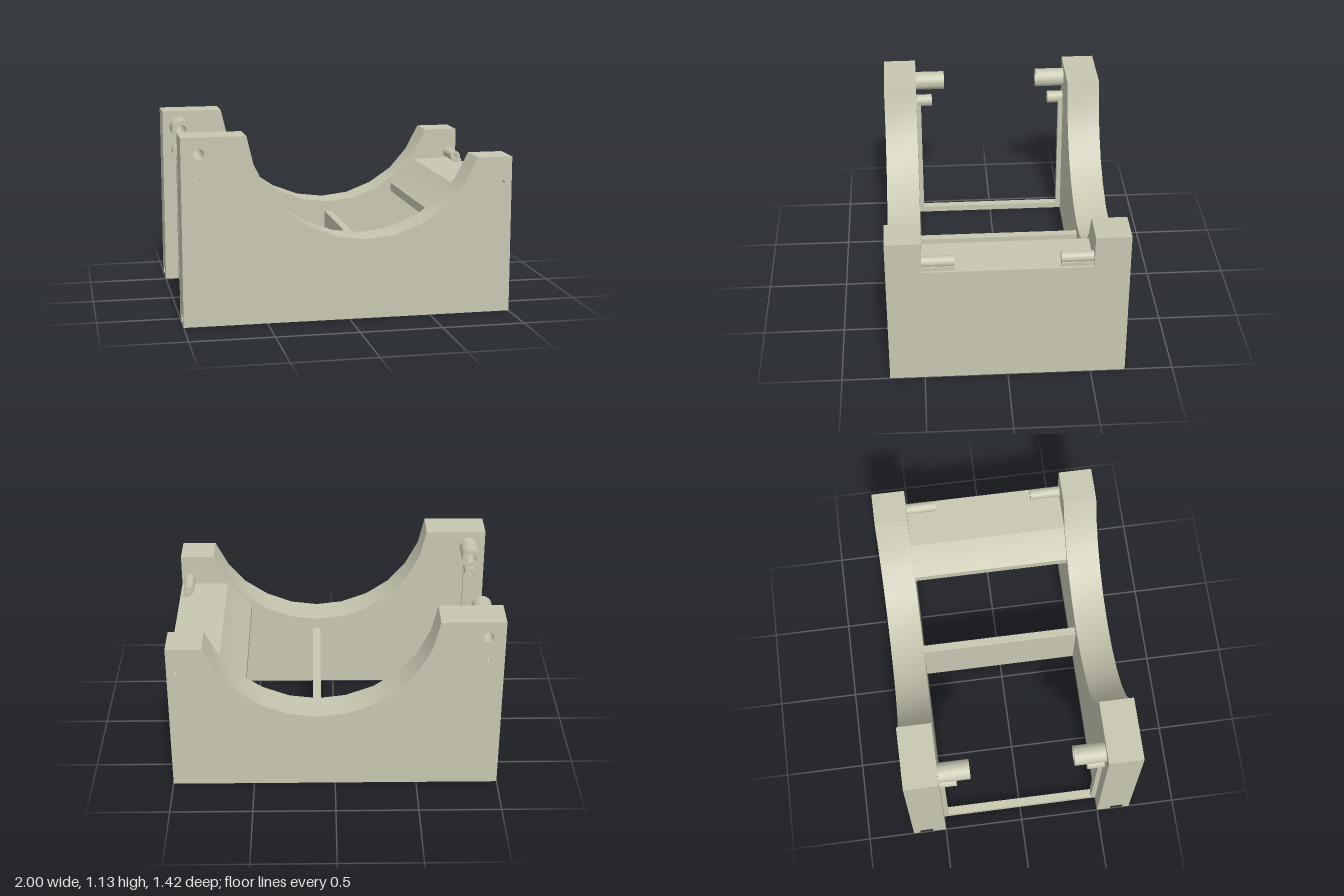
import * as THREE from 'three';
import { toCreasedNormals } from 'three/addons/utils/BufferGeometryUtils.js';

const material = new THREE.MeshStandardMaterial({ color: 0xc8c7b0 });

// Bolt holes and their bosses: centre, radii and inner end of the boss
const bosses = [
  { name: 'largeBoss', x: -0.895, y: 1.03, r: 0.06, hole: 0.032, end: 0.31 },
  { name: 'smallBoss', x: -0.905, y: 0.875, r: 0.04, hole: 0.011, end: 0.395 },
  { name: 'wallBoss', x: 0.945, y: 0.802, r: 0.033, hole: 0.012, end: 0.31 },
];

function add(parent, name, geometry) {
  const mesh = new THREE.Mesh(geometry, material);
  mesh.name = name;
  parent.add(mesh);
  return mesh;
}

// Box given by its limits on each axis
function box(parent, name, [x0, x1], [y0, y1], [z0, z1]) {
  const mesh = add(parent, name, new THREE.BoxGeometry(x1 - x0, y1 - y0, z1 - z0));
  mesh.position.set((x0 + x1) / 2, (y0 + y1) / 2, (z0 + z1) / 2);
  return mesh;
}

function outline(points) {
  return new THREE.Shape(points.map(([x, y]) => new THREE.Vector2(x, y)));
}

function circleHole(x, y, r) {
  return new THREE.Path().absarc(x, y, r, 0, Math.PI * 2, true);
}

// Extrude a shape in xy between two z positions
function extrude(parent, name, shape, z0, z1) {
  const g = new THREE.ExtrudeGeometry(shape, { depth: z1 - z0, bevelEnabled: false, curveSegments: 20 });
  g.translate(0, 0, z0);
  return add(parent, name, toCreasedNormals(g, 0.5));
}

function endPlate(front) {
  const group = new THREE.Group();
  group.name = front ? 'frontEndPlate' : 'backEndPlate';
  const span = (a, b) => (front ? [a, b] : [-b, -a]);

  // Cradle plate, with a low corner left open for the slotted foot
  const shape = outline([
    [-0.8, 0], [1, 0], [1, 0.96], [0.785, 0.96], [0.705, 0.805], [0.59, 0.67],
    [0.445, 0.572], [0.28, 0.508], [0.105, 0.487], [-0.065, 0.508], [-0.235, 0.572],
    [-0.38, 0.67], [-0.495, 0.805], [-0.575, 0.96], [-0.615, 1.13], [-1, 1.13],
    [-1, 0.055], [-0.8, 0.055],
  ]);
  for (const b of bosses) shape.holes.push(circleHole(b.x, b.y, b.hole));
  extrude(group, 'cradlePlate', shape, ...span(0.5, 0.71));

  // Foot walls either side of the slot
  box(group, 'innerFoot', [-1, -0.8], [0, 0.055], span(0.5, 0.585));
  box(group, 'outerFoot', [-1, -0.8], [0, 0.055], span(0.668, 0.71));

  // Hollow bosses on the inner face
  for (const b of bosses) {
    const ring = new THREE.Shape().absarc(b.x, b.y, b.r, 0, Math.PI * 2, false);
    ring.holes.push(circleHole(b.x, b.y, b.hole));
    extrude(group, b.name, ring, ...span(b.end, 0.5));
  }

  // Upright strip of the open end's frame, and the seat under the wall boss
  box(group, 'frameUpright', [-0.915, -0.865], [0.04, 0.86], span(0.47, 0.5));
  box(group, 'bossSeat', [0.945, 0.985], [0.755, 0.785], span(0.31, 0.5));
  return group;
}

export function createModel() {
  const model = new THREE.Group();
  model.name = 'cradleFrame';
  model.add(endPlate(true), endPlate(false));

  // Side wall with its top shelf and the curved lip below the cradle
  const shell = outline([
    [1, 0], [1, 0.762], [0.7, 0.762], [0.628, 0.675], [0.545, 0.6],
    [0.545, 0.545], [0.655, 0.632], [0.725, 0.712], [0.95, 0.712], [0.95, 0],
  ]);
  extrude(model, 'sideWall', shell, -0.5, 0.5);

  // Cross members
  box(model, 'middlePanel', [0.085, 0.135], [0, 0.42], [-0.5, 0.5]);
  box(model, 'frameSill', [-0.915, -0.865], [0, 0.04], [-0.5, 0.5]);
  return model;
}
